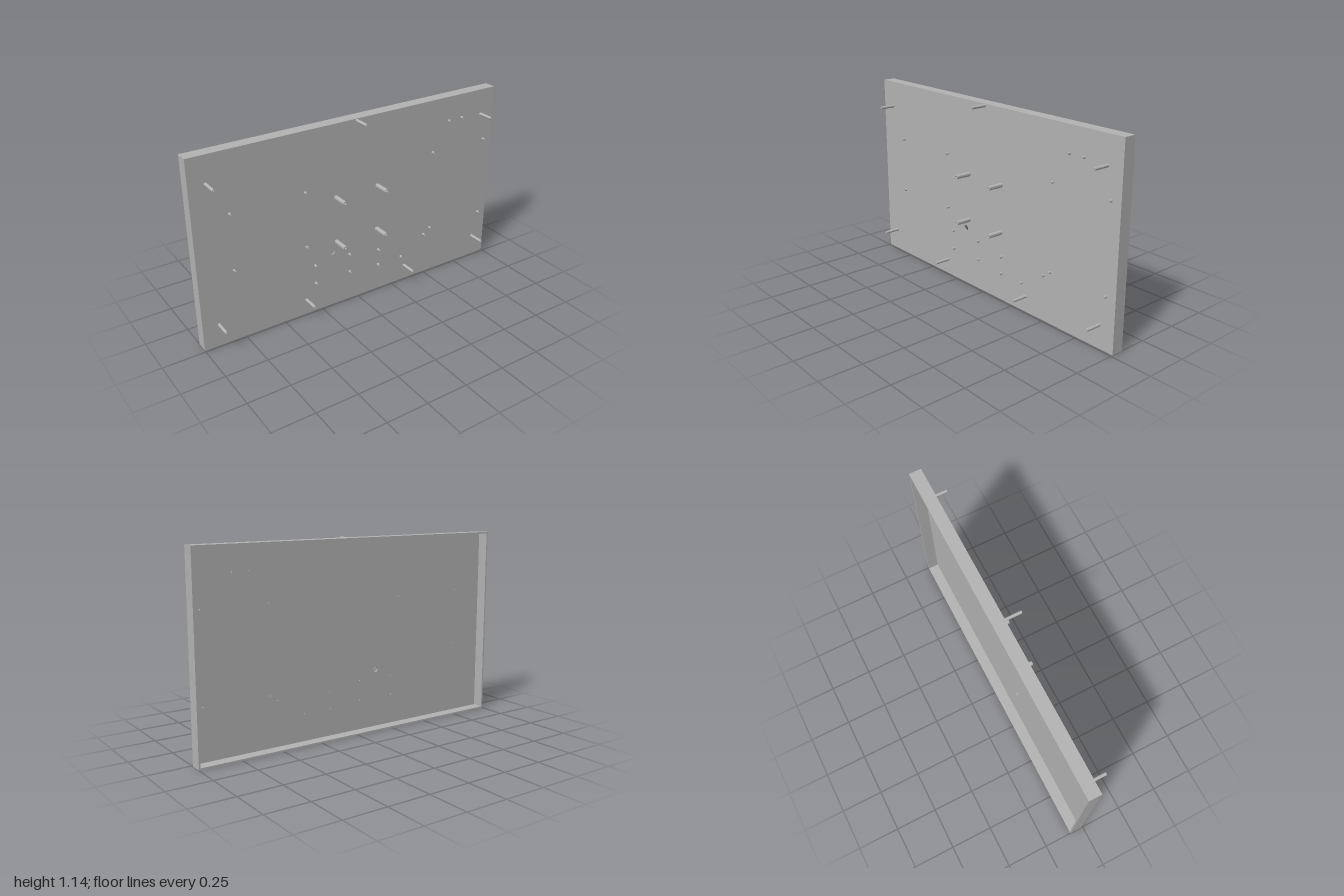
import * as THREE from 'three';
import { toCreasedNormals } from 'three/addons/utils/BufferGeometryUtils.js';

const HEIGHT = 1.14;
const BACK = -0.085, FACE = -0.012, PLATE = 0.008, RIM = 0.01;

// Small standoffs, bored right through the plate
const SMALL = [
  [-0.79, 0.785], [-0.34, 0.785], [-0.79, 0.446], [-0.34, 0.446],
  [0.655, 0.992], [0.752, 0.992],
  [0.542, 0.814], [0.937, 0.814], [0.542, 0.307], [0.937, 0.307],
  [-0.288, 0.307], [-0.055, 0.307], [-0.288, 0.189], [-0.055, 0.189],
  [0.151, 0.273], [0.495, 0.273], [0.151, 0.169], [0.322, 0.169],
];
// Long slim posts and long thick posts, with blind bores
const SLIM = [
  [-0.903, 0.983], [0.903, 0.983], [-0.903, 0.137], [0.903, 0.137],
  [0, 1.129], [-0.352, 0.095], [0.352, 0.095],
];
const THICK = [[-0.141, 0.701], [0.141, 0.701], [-0.141, 0.418], [0.141, 0.418]];

const SMALL_BORE = 0.0035;

function rectangle(inset) {
  const x = 1 - inset, y0 = inset, y1 = HEIGHT - inset;
  return [[-x, y0], [x, y0], [x, y1], [-x, y1]].map(([a, b]) => new THREE.Vector2(a, b));
}

function circle(x, y, r) {
  return new THREE.Path().absarc(x, y, r, 0, Math.PI * 2, true);
}

// Extrude a flat shape along z between two depths
function extrude(shape, z0, z1) {
  const geometry = new THREE.ExtrudeGeometry(shape, {
    depth: z1 - z0, bevelEnabled: false, curveSegments: 12,
  });
  geometry.translate(0, 0, z0);
  return toCreasedNormals(geometry, 0.7);
}

export function createModel() {
  const model = new THREE.Group();
  model.name = 'mountingPanel';
  const grey = new THREE.MeshStandardMaterial({ color: 0xb3b3b3 });
  grey.name = 'plain grey';

  function add(name, geometry, parent = model) {
    const mesh = new THREE.Mesh(geometry, grey);
    mesh.name = name;
    parent.add(mesh);
    return mesh;
  }

  // Front plate with the cable hole and standoff bores
  const plate = new THREE.Shape(rectangle(0));
  plate.holes.push(circle(-0.172, 0.357, 0.017));
  for (const [x, y] of SMALL) plate.holes.push(circle(x, y, SMALL_BORE));
  add('frontPlate', extrude(plate, FACE - PLATE, FACE));

  // Rim around the open back
  const rim = new THREE.Shape(rectangle(0));
  rim.holes.push(new THREE.Path(rectangle(RIM).reverse()));
  add('rim', extrude(rim, BACK, FACE - PLATE));

  // Hollow posts standing on the plate
  function posts(name, places, radius, bore, tip) {
    const group = new THREE.Group();
    group.name = name + 's';
    const ring = new THREE.Shape();
    ring.absarc(0, 0, radius, 0, Math.PI * 2, false);
    ring.holes.push(circle(0, 0, bore));
    const geometry = extrude(ring, FACE, tip);
    for (const [x, y] of places) add(name, geometry, group).position.set(x, y, 0);
    model.add(group);
  }
  posts('smallStandoff', SMALL, 0.0075, SMALL_BORE, 0.006);
  posts('slimPost', SLIM, 0.009, 0.0035, 0.085);
  posts('thickPost', THICK, 0.013, 0.006, 0.085);

  return model;
}
